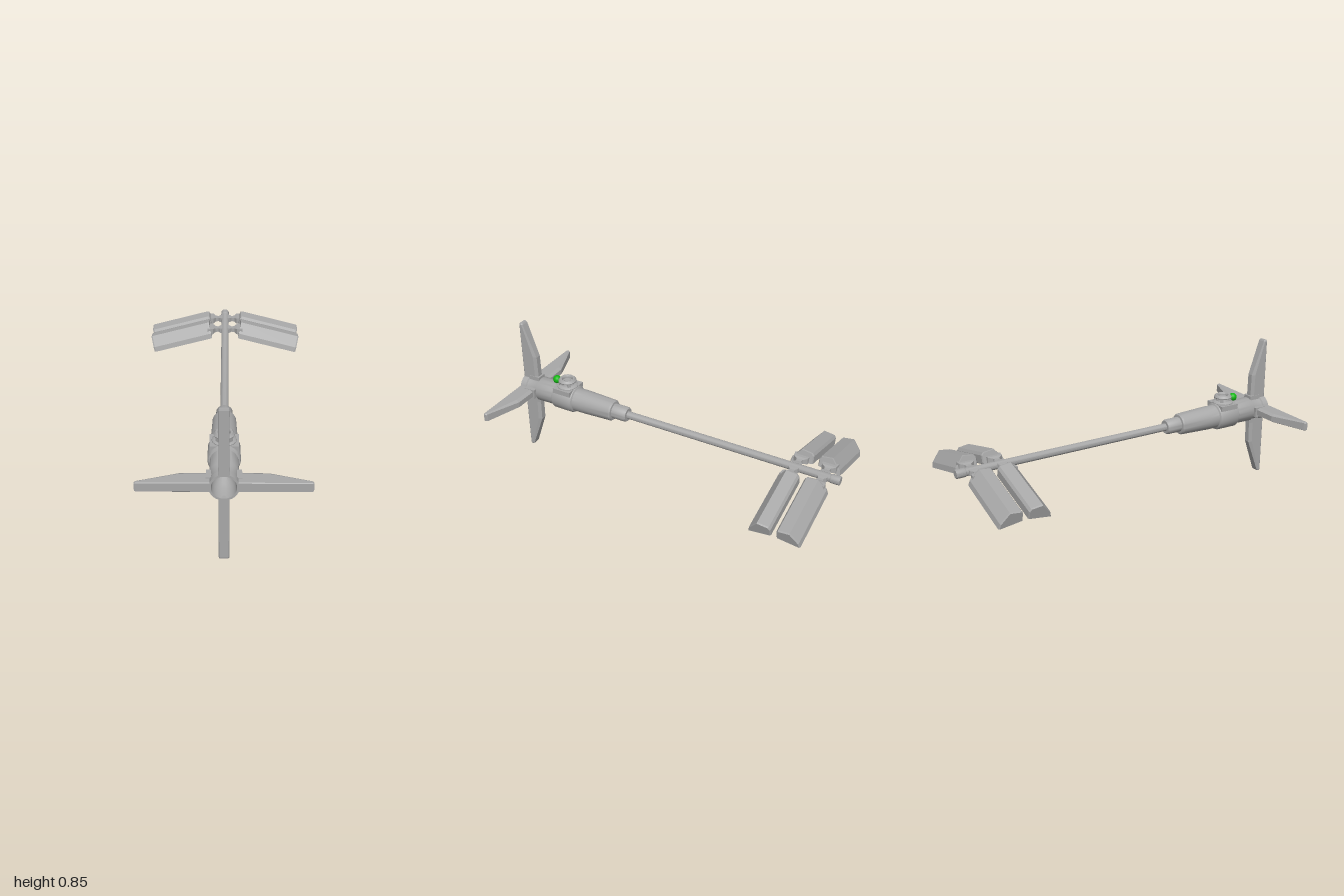
import * as THREE from 'three';
import { toCreasedNormals } from 'three/addons/utils/BufferGeometryUtils.js';

const AXIS_Y = 0.425;

export function createModel() {
  const model = new THREE.Group();
  model.name = 'spaceProbe';
  const grey = new THREE.MeshStandardMaterial({ color: 0xa8a8a8 });
  grey.name = 'hull grey';
  const green = new THREE.MeshStandardMaterial({ color: 0x12b812 });
  green.name = 'beacon green';

  // Everything hangs on the long axis
  const craft = new THREE.Group();
  craft.name = 'craft';
  craft.position.y = AXIS_Y;
  model.add(craft);

  const add = (name, geo, parent = craft, mat = grey) => {
    const mesh = new THREE.Mesh(geo, mat);
    mesh.name = name;
    parent.add(mesh);
    return mesh;
  };

  // Turned part: [radius, height] pairs
  const turned = (profile, segments = 32) => toCreasedNormals(
    new THREE.LatheGeometry(profile.map(([r, h]) => new THREE.Vector2(r, h)), segments), 0.6);

  // Skin stations along x: [x, [[y, z], ...]] counter-clockwise seen from +x
  const loft = (stations, sx = 1, sz = 1) => {
    const pos = [];
    const rings = stations.map(([x, pts]) => pts.map(([y, z]) => [x * sx, y, z * sz]));
    const tri = (a, b, c) => (sx * sz > 0 ? pos.push(...a, ...b, ...c) : pos.push(...a, ...c, ...b));
    const n = rings[0].length;
    const last = rings[rings.length - 1];
    for (let s = 0; s < rings.length - 1; s++) {
      for (let i = 0; i < n; i++) {
        const j = (i + 1) % n;
        tri(rings[s][i], rings[s][j], rings[s + 1][j]);
        tri(rings[s][i], rings[s + 1][j], rings[s + 1][i]);
      }
    }
    for (let i = 1; i < n - 1; i++) {
      tri(rings[0][0], rings[0][i + 1], rings[0][i]);
      tri(last[0], last[i], last[i + 1]);
    }
    const geo = new THREE.BufferGeometry();
    geo.setAttribute('position', new THREE.Float32BufferAttribute(pos, 3));
    geo.computeVertexNormals();
    return geo;
  };
  const rect = (y, z) => [[-y, -z], [y, -z], [y, z], [-y, z]];

  // Hull with collar, service ring and hollow nose
  add('hull', turned([
    [0, 0.29], [0.038, 0.29], [0.044, 0.3], [0.044, 0.38], [0.056, 0.382], [0.062, 0.39],
    [0.069, 0.57], [0.069, 0.635], [0.078, 0.64], [0.082, 0.65], [0.082, 0.765], [0.078, 0.772],
    [0.07, 0.775], [0.072, 0.89], [0.066, 0.9], [0.066, 0.96], [0.073, 0.965], [0.073, 1],
    [0.062, 1], [0.056, 0.93], [0.044, 0.9], [0.026, 0.86], [0, 0.86],
  ], 40).rotateX(Math.PI / 2));

  // Boom with end cap
  add('boom', turned([
    [0, -1], [0.022, -1], [0.025, -0.996], [0.025, -0.95], [0.022, -0.945], [0.022, 0.3],
  ], 20).rotateX(Math.PI / 2));

  // Four tapered fins with chamfered rear edges
  const finSection = (zb, c, w = 0.026, zf = 1) => [
    [-w, zb + c], [-w + c * 0.5, zb], [w - c * 0.5, zb], [w, zb + c],
    [w, zf - 0.004], [w - 0.003, zf], [-w + 0.003, zf], [-w, zf - 0.004],
  ];
  const finGeo = loft([
    [0.06, finSection(0.9, 0.02)], [0.215, finSection(0.903, 0.02)],
    [0.415, finSection(0.977, 0.008)], [0.423, finSection(0.982, 0.006, 0.022, 0.998)],
  ]);
  for (let i = 0; i < 4; i++) {
    const fin = new THREE.Group();
    fin.name = 'finAssembly';
    fin.rotation.z = i * Math.PI / 2;
    craft.add(fin);
    add('fin', finGeo, fin);
    add('finRootBracket', new THREE.BoxGeometry(0.025, 0.058, 0.07).translate(0.074, 0, 0.925), fin);
  }

  // Paired drooping panels on both sides, mirrored front to back
  const panelSection = [
    [0, 0.062], [0.02, -0.065], [0.065, -0.065], [0.08, -0.055], [0.088, 0.008], [0.03, 0.055],
  ];
  const shrink = (k) => panelSection.map(([y, z]) => [0.045 + (y - 0.045) * k, z * k]);
  const facePlate = [[0.003, 0.05], [-0.003, 0.046], [0.011, -0.05], [0.018, -0.054]];
  for (const sx of [1, -1]) {
    for (const sz of [1, -1]) {
      const z = -0.825 + sz * 0.08;
      const arm = new THREE.Group();
      arm.name = 'panelArm';
      arm.position.z = z;
      craft.add(arm);
      add('armBracket', loft([
        [0.012, rect(0.016, 0.03)], [0.03, rect(0.014, 0.026)], [0.042, rect(0.012, 0.014)],
        [0.06, rect(0.013, 0.018)], [0.075, rect(0.018, 0.04)], [0.11, rect(0.018, 0.045)],
      ], sx, sz), arm);

      const panel = new THREE.Group();
      panel.name = 'panel';
      panel.position.set(sx * 0.08, -0.035, 0);
      panel.rotation.z = -sx * 0.262;
      arm.add(panel);
      add('panelHousing', loft([
        [0, shrink(0.93)], [0.008, panelSection], [0.37, panelSection], [0.378, shrink(0.93)],
      ], sx, sz), panel);
      add('panelFace', loft([[0.022, facePlate], [0.356, facePlate]], sx, sz), panel);
    }
  }

  // Docking turret on the service ring
  const turret = new THREE.Group();
  turret.name = 'turret';
  turret.position.set(0, 0, 0.703);
  craft.add(turret);
  add('turretPad', new THREE.BoxGeometry(0.145, 0.03, 0.115).translate(0, 0.062, 0), turret);
  add('turretBase', turned([
    [0.062, 0.06], [0.062, 0.082], [0.052, 0.09], [0.042, 0.092], [0.038, 0.104], [0, 0.104],
  ], 16), turret);
  for (let i = 0; i < 4; i++) {
    const a = Math.PI / 4 + i * Math.PI / 2;
    const post = add('turretPost', new THREE.BoxGeometry(0.014, 0.03, 0.02), turret);
    post.position.set(Math.cos(a) * 0.044, 0.1, Math.sin(a) * 0.044);
    post.rotation.y = -a;
  }
  add('turretRing', turned([
    [0.03, 0.108], [0.052, 0.108], [0.054, 0.114], [0.044, 0.126], [0.034, 0.126], [0.03, 0.12], [0.03, 0.108],
  ], 12), turret);
  add('turretHub', new THREE.CylinderGeometry(0.018, 0.022, 0.014, 12).translate(0, 0.11, 0), turret);

  // Beacon on a short stem
  add('beaconStem', new THREE.CylinderGeometry(0.008, 0.012, 0.03, 10).translate(0, 0.078, 0.775));
  add('beacon', new THREE.SphereGeometry(0.024, 20, 14).translate(0, 0.097, 0.777), craft, green);

  return model;
}
